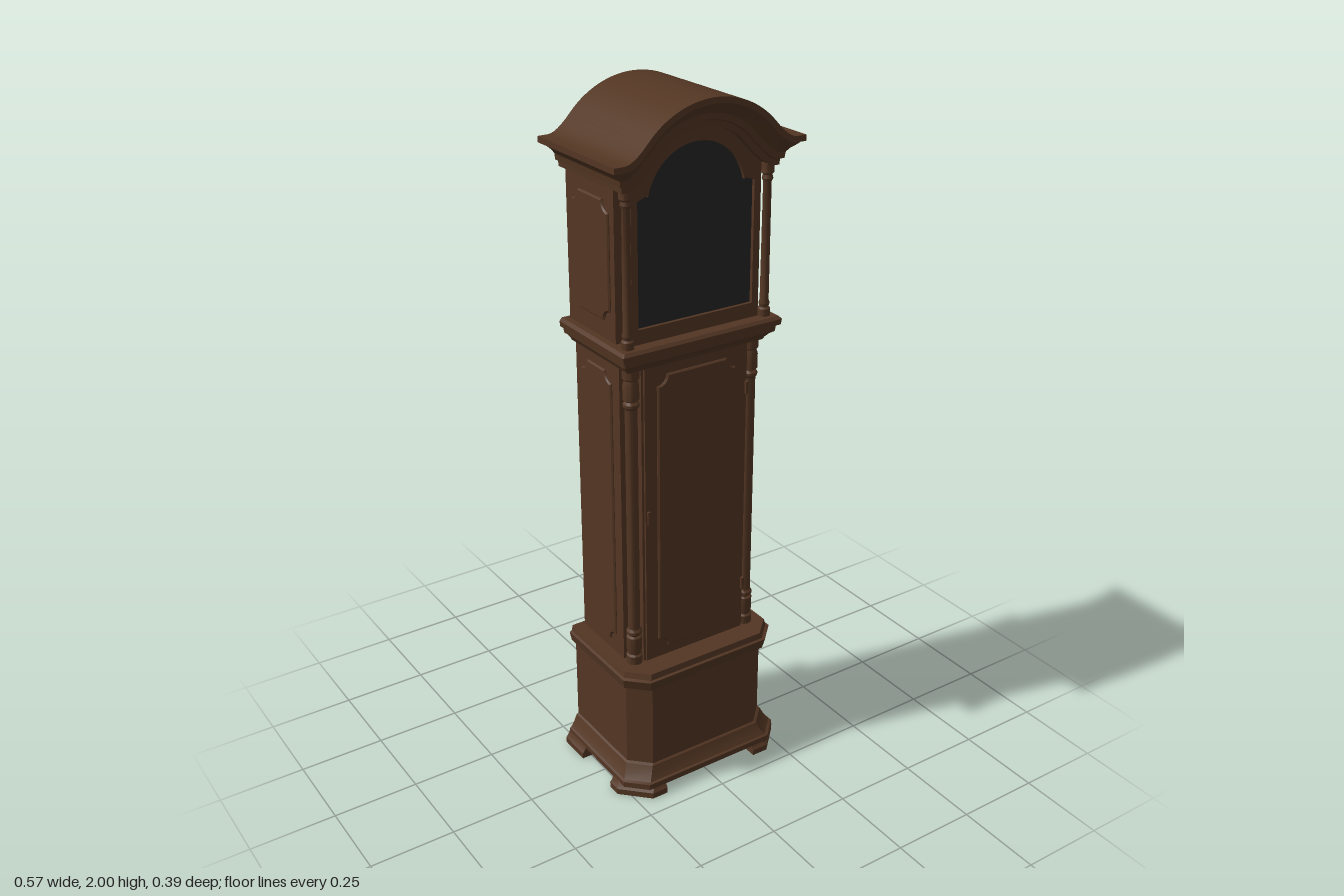
import * as THREE from 'three';
import { toCreasedNormals } from 'three/addons/utils/BufferGeometryUtils.js';

const wood = new THREE.MeshStandardMaterial({ color: 0x533623 });
wood.name = 'walnut wood';
const dark = new THREE.MeshStandardMaterial({ color: 0x262626, side: THREE.DoubleSide });
dark.name = 'dark glass';

// Skin a stack of rings; closed rings get end caps
function loft(rings, closed = true) {
  const pos = [], n = rings[0].length;
  const tri = (...p) => p.forEach((v) => pos.push(...v));
  for (let i = 0; i + 1 < rings.length; i++) {
    const lo = rings[i], hi = rings[i + 1];
    for (let j = 0; j < (closed ? n : n - 1); j++) {
      const k = (j + 1) % n;
      tri(lo[j], lo[k], hi[k]);
      tri(lo[j], hi[k], hi[j]);
    }
  }
  if (closed) {
    const a = rings[0], b = rings[rings.length - 1];
    for (let j = 1; j + 1 < n; j++) {
      tri(a[0], a[j + 1], a[j]);
      tri(b[0], b[j], b[j + 1]);
    }
  }
  const g = new THREE.BufferGeometry();
  g.setAttribute('position', new THREE.Float32BufferAttribute(pos, 3));
  return toCreasedNormals(g, 0.4);
}

// Case footprint with cut front corners, stacked through [y, outset] pairs
function plinth(w, zf, zb, c, profile) {
  return loft(profile.map(([y, o]) => {
    const x = w + o, z = zf + o;
    return [[-x, y, zb], [-x, y, z - c], [c - x, y, z], [x - c, y, z], [x, y, z - c], [x, y, zb]];
  }));
}

// Break-arch line from left to right, d below the roof line
function archPts(w, d) {
  const r = 0.256 - d, cy = 1.744, y0 = 1.87 - d, half = [];
  const a = 0.836, px = r * Math.sin(a), py = cy + r * Math.cos(a);
  const cx = px + (py - y0) / Math.tan(a);
  for (let i = 0; i <= 14; i++) half.push([r * Math.sin(a * i / 14), cy + r * Math.cos(a * i / 14)]);
  const sweep = new THREE.QuadraticBezierCurve(
    new THREE.Vector2(px, py), new THREE.Vector2(cx, y0), new THREE.Vector2(Math.min(cx + 0.025, w - 0.001), y0));
  sweep.getPoints(6).slice(1).forEach((p) => half.push([p.x, p.y]));
  half.push([w, y0]);
  return [...half.slice(1).reverse().map(([x, y]) => [-x, y]), ...half];
}
const shapeOf = (pts) => new THREE.Shape(pts.map(([x, y]) => new THREE.Vector2(x, y)));
const archSolid = (w, d, y) => shapeOf([[-w, y], ...archPts(w, d), [w, y]]);
const archBand = (w, d1, d2) => shapeOf([...archPts(w, d1), ...archPts(w, d2).reverse()]);

function extrude(shape, zb, zf) {
  const g = new THREE.ExtrudeGeometry(shape, { depth: zf - zb, bevelEnabled: false, curveSegments: 20 });
  return toCreasedNormals(g.translate(0, 0, zb), 0.4);
}

// Raised panel with scooped corners
function panelGeo(w, h, r) {
  const s = new THREE.Shape(), x = w / 2, y = h / 2, q = Math.PI / 2;
  s.moveTo(-x + r, -y).lineTo(x - r, -y);
  s.absarc(x, -y, r, 2 * q, q, true);
  s.lineTo(x, y - r);
  s.absarc(x, y, r, 3 * q, 2 * q, true);
  s.lineTo(-x + r, y);
  s.absarc(-x, y, r, 0, -q, true);
  s.lineTo(-x, -y + r);
  s.absarc(-x, -y, r, q, 0, true);
  return new THREE.ExtrudeGeometry(s, {
    depth: 0.003, bevelSize: 0.004, bevelThickness: 0.004, bevelOffset: -0.004, bevelSegments: 1, curveSegments: 6,
  });
}

export function createModel() {
  const model = new THREE.Group();
  const add = (name, geo, x = 0, y = 0, z = 0, mat = wood) => {
    const m = new THREE.Mesh(geo, mat);
    m.name = name;
    m.position.set(x, y, z);
    model.add(m);
    return m;
  };
  const box = (name, x0, x1, y0, y1, z0, z1) => add(name, new THREE.BoxGeometry(x1 - x0, y1 - y0, z1 - z0),
    (x0 + x1) / 2, (y0 + y1) / 2, (z0 + z1) / 2);
  const lathe = (pts) => toCreasedNormals(
    new THREE.LatheGeometry(pts.map(([r, y]) => new THREE.Vector2(r, y)), 20), 0.6);

  // Base with flared skirt and top moulding
  add('base', plinth(0.235, 0.155, -0.178, 0.055, [[0.03, 0.032], [0.047, 0.032], [0.05, 0.026], [0.065, 0.016],
    [0.088, 0.006], [0.092, 0], [0.36, 0], [0.36, 0.014], [0.39, 0.02], [0.393, 0.013], [0.41, 0.009]]));

  // Bracket feet
  const frontFoot = [[0.155, 0.193], [0.205, 0.193], [0.28, 0.118], [0.28, 0.077], [0.2, 0.077], [0.155, 0.12]];
  const rearFoot = [[0.2, -0.08], [0.28, -0.08], [0.28, -0.178], [0.2, -0.178]];
  for (const s of [1, -1]) {
    [['frontFoot', frontFoot], ['rearFoot', rearFoot]].forEach(([name, plan]) => {
      const ring = (y, k) => {
        const pts = plan.map(([x, z]) => [s * (x > 0.2 ? x - k : x), y, z > 0.1 ? z - k : z]);
        return s > 0 ? pts : pts.reverse();
      };
      add(name, loft([ring(0, 0), ring(0.018, 0), ring(0.024, 0.006), ring(0.036, 0.012)]));
    });
  }

  // Trunk with recessed front corners
  box('trunkCase', -0.21, 0.21, 0.4, 1.32, -0.165, 0.053);
  box('trunkFront', -0.17, 0.17, 0.4, 1.32, 0.05, 0.095);
  box('trunkDoor', -0.163, 0.163, 0.412, 1.308, 0.09, 0.101);
  add('trunkDoorPanel', panelGeo(0.25, 0.84, 0.03), 0, 0.862, 0.101);
  for (const y of [0.56, 1.18]) box('trunkHinge', 0.16, 0.168, y - 0.018, y + 0.018, 0.095, 0.108);
  box('trunkLock', -0.158, -0.15, 0.85, 0.89, 0.1, 0.108);

  // Turned corner columns
  const low = [[0, 0.41], [0.023, 0.41], [0.023, 0.435], [0.018, 0.44], [0.022, 0.455], [0.022, 0.495],
    [0.016, 0.5], [0.022, 0.507], [0.022, 0.515], [0.017, 0.522]];
  const column = lathe([...low, ...low.map(([r, y]) => [r, 1.72 - y]).reverse()]);
  const hoodColumn = lathe([[0, 1.38], [0.017, 1.38], [0.017, 1.4], [0.012, 1.405], [0.015, 1.415], [0.012, 1.425],
    [0.011, 1.745], [0.015, 1.755], [0.012, 1.765], [0.017, 1.77], [0.017, 1.795], [0, 1.795]]);

  for (const s of [1, -1]) {
    add('trunkColumn', column, s * 0.191, 0, 0.079);
    add('hoodColumn', hoodColumn, s * 0.215, 0, 0.105);
    // Side panels of trunk and hood
    add('trunkSidePanel', panelGeo(0.148, 0.835, 0.03), s * 0.209, 0.862, -0.056).rotation.y = s * Math.PI / 2;
    add('hoodSidePanel', panelGeo(0.175, 0.32, 0.03), s * 0.224, 1.59, -0.043).rotation.y = s * Math.PI / 2;
  }

  // Waist moulding
  add('waistMoulding', plinth(0.215, 0.105, -0.178, 0.002, [[1.31, 0], [1.318, 0.004], [1.328, 0.012], [1.336, 0.023],
    [1.352, 0.025], [1.356, 0.034], [1.372, 0.036], [1.38, 0.028]]));

  // Hood case
  add('hoodCase', extrude(archSolid(0.225, 0.03, 1.375), -0.165, 0.065));

  // Hood door around the arched window
  const windowPts = [[-0.178, 1.42], [0.178, 1.42], [0.178, 1.755], [0.147, 1.765]];
  for (let i = 0; i <= 24; i++) {
    const t = 0.2 + (Math.PI - 0.4) * i / 24;
    windowPts.push([0.149 * Math.cos(t), 1.731 + 0.149 * Math.sin(t)]);
  }
  windowPts.push([-0.147, 1.765], [-0.178, 1.755]);
  const door = archSolid(0.198, 0.075, 1.38);
  door.holes.push(new THREE.Path(windowPts.map(([x, y]) => new THREE.Vector2(x, y))));
  add('hoodDoor', extrude(door, 0.06, 0.1));
  add('windowGlass', new THREE.ShapeGeometry(shapeOf(windowPts)), 0, 0, 0.09, dark);

  // Rear access hinges and knob
  for (const y of [1.49, 1.69]) box('rearHinge', -0.205, -0.185, y - 0.022, y + 0.022, -0.172, -0.16);
  box('rearKnob', 0.146, 0.154, 1.565, 1.595, -0.17, -0.16);

  // Arched cornice, mitred round the front corners
  add('corniceCore', extrude(archBand(0.235, 0.01, 0.08), -0.178, 0.122));
  const cove = [[0.08, 0.002], [0.065, 0.003], [0.062, 0.011], [0.046, 0.013], [0.036, 0.02], [0.026, 0.032], [0.014, 0.044]];
  add('corniceMoulding', loft(cove.map(([d, o]) => {
    const w = 0.235 + o, y = 1.87 - d;
    return [[-w, y, -0.178], ...archPts(w, d).map(([px, py]) => [px, py, 0.122 + o]), [w, y, -0.178]];
  }), false));
  add('archedRoof', extrude(archBand(0.285, 0, 0.016), -0.195, 0.17));
  return model;
}
